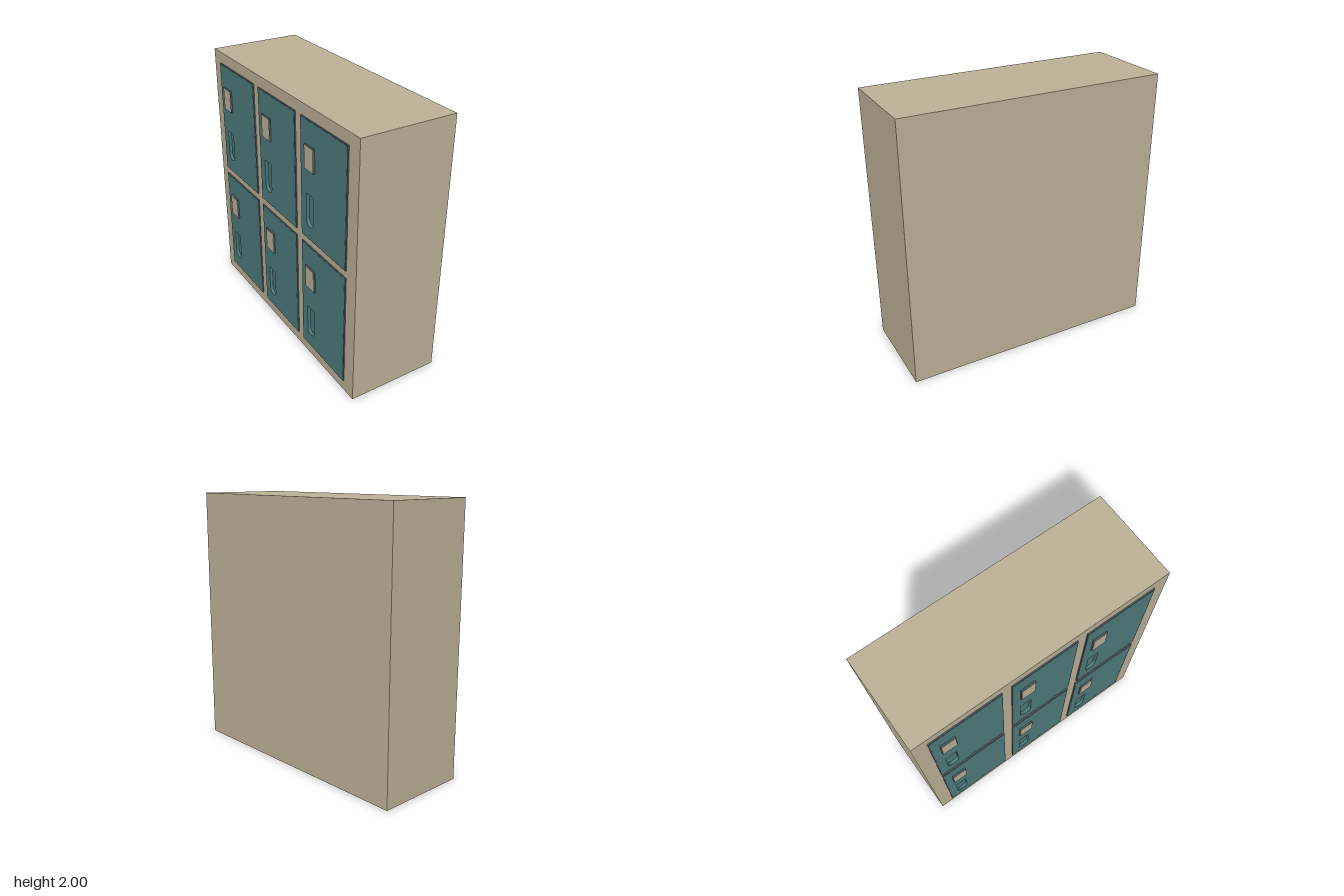
import * as THREE from 'three';

const mat = (name, color) => {
  const m = new THREE.MeshStandardMaterial({ color });
  m.name = name;
  return m;
};

// Rectangle outline from corner to corner
function rect(u0, v0, u1, v1, Type = THREE.Shape) {
  const s = new Type();
  s.moveTo(u0, v0);
  s.lineTo(u1, v0);
  s.lineTo(u1, v1);
  s.lineTo(u0, v1);
  s.closePath();
  return s;
}

// Finger slot: flat top, rounded bottom
function slot(u0, v0, u1, v1) {
  const r = (u1 - u0) / 2;
  const p = new THREE.Path();
  p.moveTo(u0, v1);
  p.lineTo(u0, v0 + r);
  p.absarc(u0 + r, v0 + r, r, Math.PI, Math.PI * 2, false);
  p.lineTo(u1, v1);
  p.closePath();
  return p;
}

export function createModel() {
  const group = new THREE.Group();
  const beige = mat('beige paint', 0xbdb298);
  const teal = mat('teal paint', 0x4f7c7d);
  const slate = mat('slate metal', 0x4f5d68);

  // The door side is drawn flat (u = z, v = y) and extruded towards -x
  const doorSide = new THREE.Group();
  doorSide.name = 'doorSide';
  doorSide.rotation.y = -Math.PI / 2;
  group.add(doorSide);

  const extrude = (parent, name, shape, from, to, material) => {
    const geo = new THREE.ExtrudeGeometry(shape, { depth: to - from, bevelEnabled: false, curveSegments: 10 });
    geo.translate(0, 0, from);
    const mesh = new THREE.Mesh(geo, material);
    mesh.name = name;
    parent.add(mesh);
  };

  const columns = [[-0.885, -0.335], [-0.26, 0.255], [0.33, 0.88]];
  const rows = [0.088, 1.03];
  const doorHeight = 0.885;

  // Cabinet carcass and the face frame around the doors
  extrude(doorSide, 'carcass', rect(-0.99, 0, 0.99, 2), -0.367, 0.32, beige);
  const frame = rect(-0.99, 0, 0.99, 2);
  for (const [a, b] of columns)
    for (const y of rows) frame.holes.push(rect(a, y, b, y + doorHeight, THREE.Path));
  extrude(doorSide, 'faceFrame', frame, 0.32, 0.345, beige);

  for (const [a, b] of columns) {
    for (const y of rows) {
      const door = new THREE.Group();
      door.name = 'door';
      doorSide.add(door);
      const top = y + doorHeight, e = 0.007;

      // Dark rim around the door
      const rim = rect(a, y, b, top);
      rim.holes.push(rect(a + e, y + e, b - e, top - e, THREE.Path));
      extrude(door, 'doorRim', rim, 0.321, 0.354, slate);

      // Panel with a sunken finger slot and its floor
      const panel = rect(a + e, y + e, b - e, top - e);
      panel.holes.push(slot(a + 0.07, y + 0.105, a + 0.16, y + 0.35));
      extrude(door, 'doorPanel', panel, 0.33, 0.355, teal);
      extrude(door, 'slotFloor', rect(a + 0.05, y + 0.09, a + 0.18, y + 0.37), 0.321, 0.331, teal);

      // Lock box with a light cover plate
      const l0 = a + 0.064, l1 = a + 0.18, m0 = y + 0.538, m1 = y + 0.712;
      extrude(door, 'lockBox', rect(l0, m0, l1, m1), 0.35, 0.367, slate);
      extrude(door, 'lockCover', rect(l0 + 0.004, m0 + 0.004, l1 - 0.004, m1 - 0.004), 0.366, 0.369, beige);
    }
  }
  return group;
}
